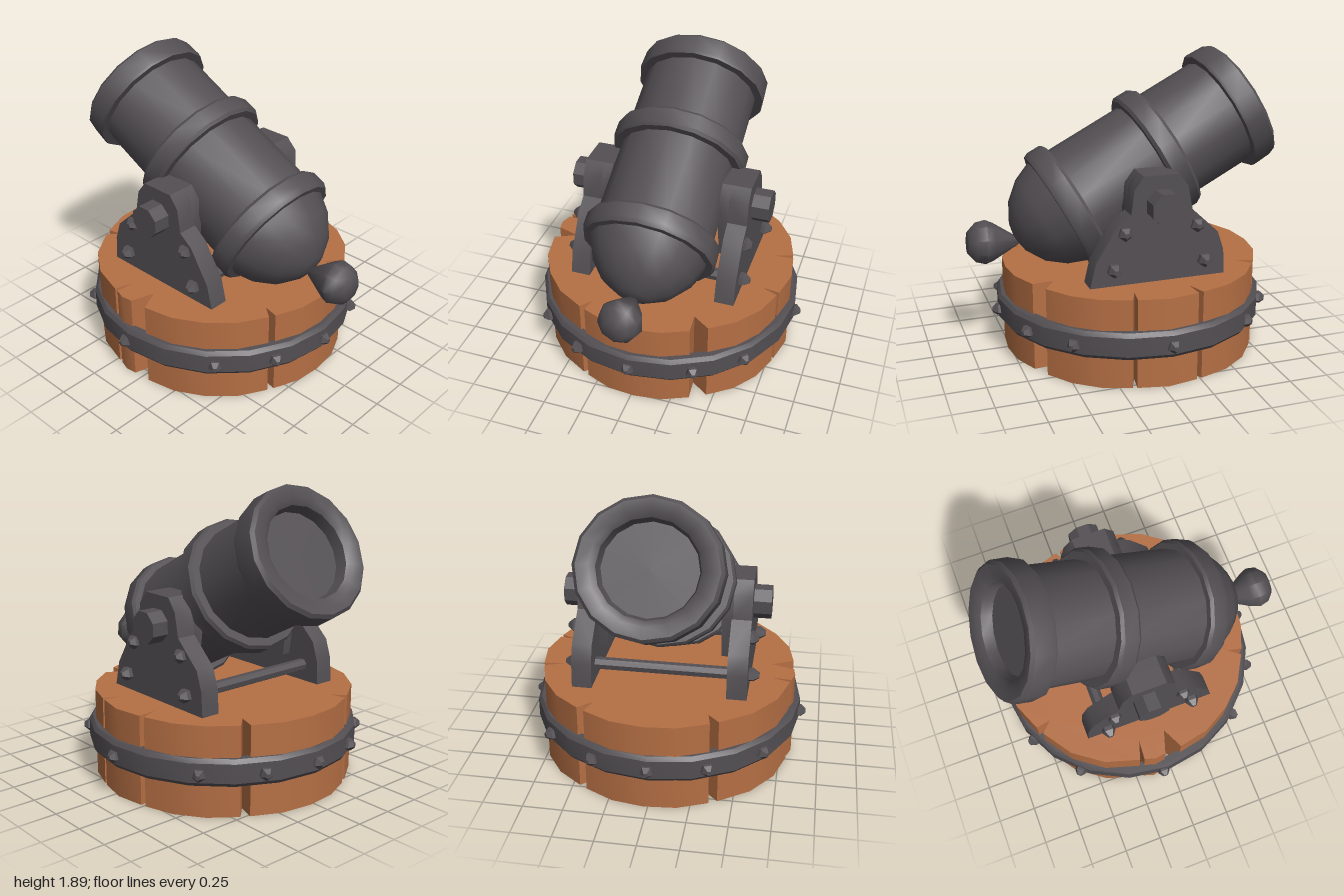
import * as THREE from 'three';
import { toCreasedNormals } from 'three/addons/utils/BufferGeometryUtils.js';

const iron = new THREE.MeshStandardMaterial({ color: 0x534f53 });
iron.name = 'dark iron';
const wood = new THREE.MeshStandardMaterial({ color: 0xb56f44 });
wood.name = 'brown wood';

const CX = -0.05; // centre of the round base
const rad = THREE.MathUtils.degToRad;
const vec = ([x, y]) => new THREE.Vector2(x, y);

function add(parent, name, geometry, material, crease = 0.6) {
  const mesh = new THREE.Mesh(toCreasedNormals(geometry, crease), material);
  mesh.name = name;
  parent.add(mesh);
  return mesh;
}

// Wooden block: a round slab split by V-shaped cracks [angle, half width, depth]
function buildBase(root) {
  const cracks = [
    [-148, 2, 0.12], [-103, 1.2, 0.13], [-74, 1, 0.12], [-30, 4, 0.13],
    [25, 1.5, 0.1], [86, 4, 0.15], [101, 1, 0.13], [152, 2, 0.1],
  ];
  const pts = [];
  const put = (deg, r) => pts.push(new THREE.Vector2(r * Math.cos(rad(deg)), -r * Math.sin(rad(deg))));
  cracks.forEach(([a, half, depth], i) => {
    const next = cracks[(i + 1) % cracks.length];
    const start = a + half;
    const end = next[0] - next[1] + (i === cracks.length - 1 ? 360 : 0);
    put(a, 0.82 - depth);
    const steps = Math.max(2, Math.round((end - start) / 14));
    for (let k = 0; k <= steps; k++) {
      put(start + ((end - start) * k) / steps, k === 0 || k === steps ? 0.815 : 0.828);
    }
  });
  const slab = new THREE.ExtrudeGeometry(new THREE.Shape(pts.reverse()), { depth: 0.565, bevelEnabled: false });
  slab.rotateX(-Math.PI / 2);
  add(root, 'woodenBase', slab, wood).position.x = CX - 0.01;
}

// Iron hoop around the block, with pointed studs
function buildHoop(root) {
  const profile = [[0.8, 0.2], [0.845, 0.2], [0.865, 0.225], [0.865, 0.345], [0.845, 0.37], [0.8, 0.37], [0.8, 0.2]];
  add(root, 'ironHoop', new THREE.LatheGeometry(profile.map(vec), 20), iron).position.x = CX;

  const studs = new THREE.Group();
  studs.name = 'hoopStuds';
  for (const a of [0, 25, 50, 92, 130, 156, 180, -156, -130, -90, -50, -27]) {
    const stud = add(studs, 'stud', studGeometry(0.042, 0.055), iron, 0.2);
    stud.position.set(CX + 0.85 * Math.cos(rad(a)), 0.275, 0.85 * Math.sin(rad(a)));
    stud.rotation.y = Math.PI / 2 - rad(a);
  }
  root.add(studs);
}

// Faceted stud pointing along +z
function studGeometry(r, length) {
  const g = new THREE.LatheGeometry([[r, 0], [r, length * 0.45], [r * 0.4, length], [0, length]].map(vec), 5);
  return g.rotateX(Math.PI / 2);
}

// Side bracket with trunnion and bolts, built on the +z side
function buildBracket() {
  const bracket = new THREE.Group();
  bracket.name = 'sideBracket';
  const top = [[0.11, 1.0], [0.09, 1.15], [0.03, 1.23], [-0.19, 1.23], [-0.25, 1.15], [-0.28, 1.0]];
  const outline = [[-0.5, 0.55], [0.37, 0.55], [0.33, 0.72], [0.2, 0.93], ...top, [-0.45, 0.84], [-0.49, 0.72]];
  const boss = [[-0.24, 0.72], [0.07, 0.72], ...top];
  const plate = (name, pts, z0, z1) => {
    const g = new THREE.ExtrudeGeometry(new THREE.Shape(pts.map(vec)), { depth: z1 - z0, bevelEnabled: false });
    add(bracket, name, g, iron).position.z = z0;
  };
  plate('bracketPlate', outline, 0.42, 0.545);
  plate('bracketBoss', boss, 0.36, 0.43);

  const trunnion = add(bracket, 'trunnion', new THREE.CylinderGeometry(0.105, 0.105, 0.35, 8).rotateY(Math.PI / 8).rotateX(Math.PI / 2), iron);
  trunnion.position.set(-0.085, 1.045, 0.48);

  for (const [x, y, length] of [[-0.31, 0.9, 0.055], [0.15, 0.89, 0.055], [-0.36, 0.67, 0.07], [0.22, 0.67, 0.07]]) {
    add(bracket, 'bolt', studGeometry(0.045, length), iron, 0.2).position.set(x, y, 0.54);
  }
  return bracket;
}

// Barrel turned about its axis: [radius, distance behind the muzzle]
function buildBarrel(root) {
  const profile = [
    [0, 1.71], [0.1, 1.69], [0.22, 1.62], [0.31, 1.51], [0.36, 1.39],
    [0.4, 1.39], [0.415, 1.36], [0.415, 1.27], [0.4, 1.25], [0.362, 1.25],
    [0.362, 0.72], [0.41, 0.72], [0.425, 0.7], [0.425, 0.6], [0.41, 0.58], [0.36, 0.58],
    [0.36, 0.16], [0.41, 0.16], [0.415, 0.14], [0.41, 0.02], [0.39, 0],
    [0.32, 0.005], [0.285, 0.03], [0.27, 0.1], [0, 0.1],
  ].map(([r, t]) => new THREE.Vector2(r, -t));
  const barrel = add(root, 'barrel', new THREE.LatheGeometry(profile, 16), iron);
  barrel.position.set(-0.815, 1.535, 0);
  barrel.rotation.z = rad(62.2);
  barrel.scale.z = 1.04;

  // Teardrop knob at the breech
  const drop = [[0, 0], [0.025, 0.02], [0.12, 0.18], [0.14, 0.23], [0.125, 0.29], [0.075, 0.335], [0, 0.34]];
  const knob = add(root, 'breechKnob', new THREE.LatheGeometry(drop.map(vec), 9), iron, 0.9);
  knob.position.set(0.66, 0.72, 0);
  knob.rotation.z = -Math.PI / 2 + 0.07;
}

export function createModel() {
  const root = new THREE.Group();
  root.name = 'mortarCannon';
  buildBase(root);
  buildHoop(root);
  buildBarrel(root);

  const front = buildBracket();
  const back = buildBracket();
  back.rotation.y = Math.PI;
  // Turn the copy about the vertical, then mirror its x so both sides match
  back.rotation.y = 0;
  back.scale.z = -1;
  root.add(front, back);

  // Tie rods between the brackets
  for (const x of [-0.36, 0.22]) {
    const rod = add(root, 'tieRod', new THREE.CylinderGeometry(0.04, 0.04, 0.9, 7).rotateX(Math.PI / 2), iron);
    rod.position.set(x, 0.67, 0);
  }
  return root;
}
